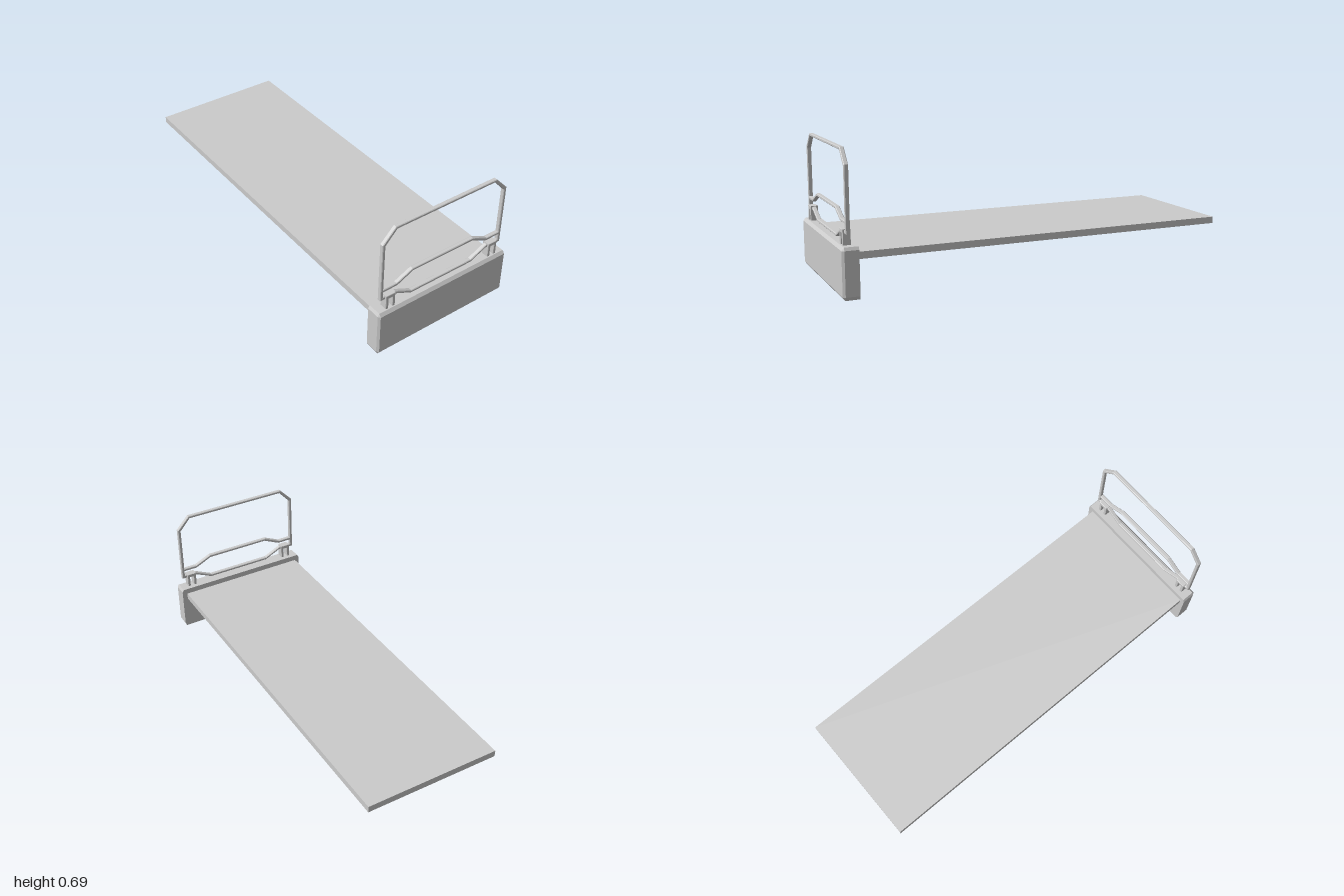
import * as THREE from 'three';
import { ConvexGeometry } from 'three/addons/geometries/ConvexGeometry.js';

const material = new THREE.MeshStandardMaterial({ color: 0xcccccc, flatShading: true });

function add(parent, name, geometry) {
  const mesh = new THREE.Mesh(geometry, material);
  mesh.name = name;
  parent.add(mesh);
  return mesh;
}

// Completes a right-hand run of points with its mirror image across x = 0
function mirrored(points) {
  const left = points.map(([x, y]) => [-x, y]).reverse();
  return [...points, ...left].map(([x, y]) => new THREE.Vector2(x, y));
}

// Extrudes a shape between two depths, with a bevel kept inside its outline
function extrudeBetween(shape, z0, z1, bevel) {
  const geometry = new THREE.ExtrudeGeometry(shape, {
    depth: z1 - z0 - 2 * bevel,
    bevelEnabled: true,
    bevelThickness: bevel,
    bevelSize: bevel,
    bevelOffset: -bevel,
    bevelSegments: 1,
  });
  return geometry.translate(0, 0, z0 + bevel);
}

// Beam with cut corners and a chamfered front face
function beamGeometry() {
  const points = [];
  for (const s of [-1, 1]) {
    for (const z of [0.92, 0.988]) {
      for (const [x, y] of [[0.37, 0], [0.378, 0.017], [0.378, 0.23], [0.37, 0.245]]) {
        points.push(new THREE.Vector3(s * x, y, z));
      }
    }
    for (const y of [0.017, 0.23]) points.push(new THREE.Vector3(s * 0.37, y, 1));
  }
  return new ConvexGeometry(points);
}

// Guard hoop with two openings: the large upper one and the slot between the bars
function guardGeometry() {
  const shape = new THREE.Shape(mirrored([
    [0.178, 0.257], [0.266, 0.298], [0.356, 0.298], [0.356, 0.613], [0.287, 0.685],
  ]));
  shape.holes.push(
    new THREE.Path(mirrored([
      [0.178, 0.4], [0.267, 0.359], [0.34, 0.359], [0.34, 0.605], [0.28, 0.671],
    ])),
    new THREE.Path(mirrored([
      [0.178, 0.271], [0.271, 0.315], [0.34, 0.315], [0.34, 0.344], [0.264, 0.344], [0.175, 0.386],
    ])),
  );
  return extrudeBetween(shape, 0.953, 0.974, 0.003);
}

// Upside-down U clamp
function bracketGeometry() {
  const outline = [
    [-0.026, 0.24], [-0.011, 0.24], [-0.011, 0.3], [0.011, 0.3],
    [0.011, 0.24], [0.026, 0.24], [0.026, 0.319], [-0.026, 0.319],
  ];
  const shape = new THREE.Shape(outline.map(([x, y]) => new THREE.Vector2(x, y)));
  return extrudeBetween(shape, 0.944, 0.982, 0.002);
}

export function createModel() {
  const model = new THREE.Group();
  model.name = 'bumperWithGuard';

  add(model, 'bumperBeam', beamGeometry());
  add(model, 'guardHoop', guardGeometry());
  for (const [name, x] of [['leftBracket', 0.303], ['rightBracket', -0.303]]) {
    add(model, name, bracketGeometry()).position.x = x;
  }

  // Long flat plate behind the beam
  const plate = add(model, 'plate', new THREE.BoxGeometry(0.704, 0.034, 1.92));
  plate.position.set(-0.002, 0.198, -0.04);

  return model;
}
